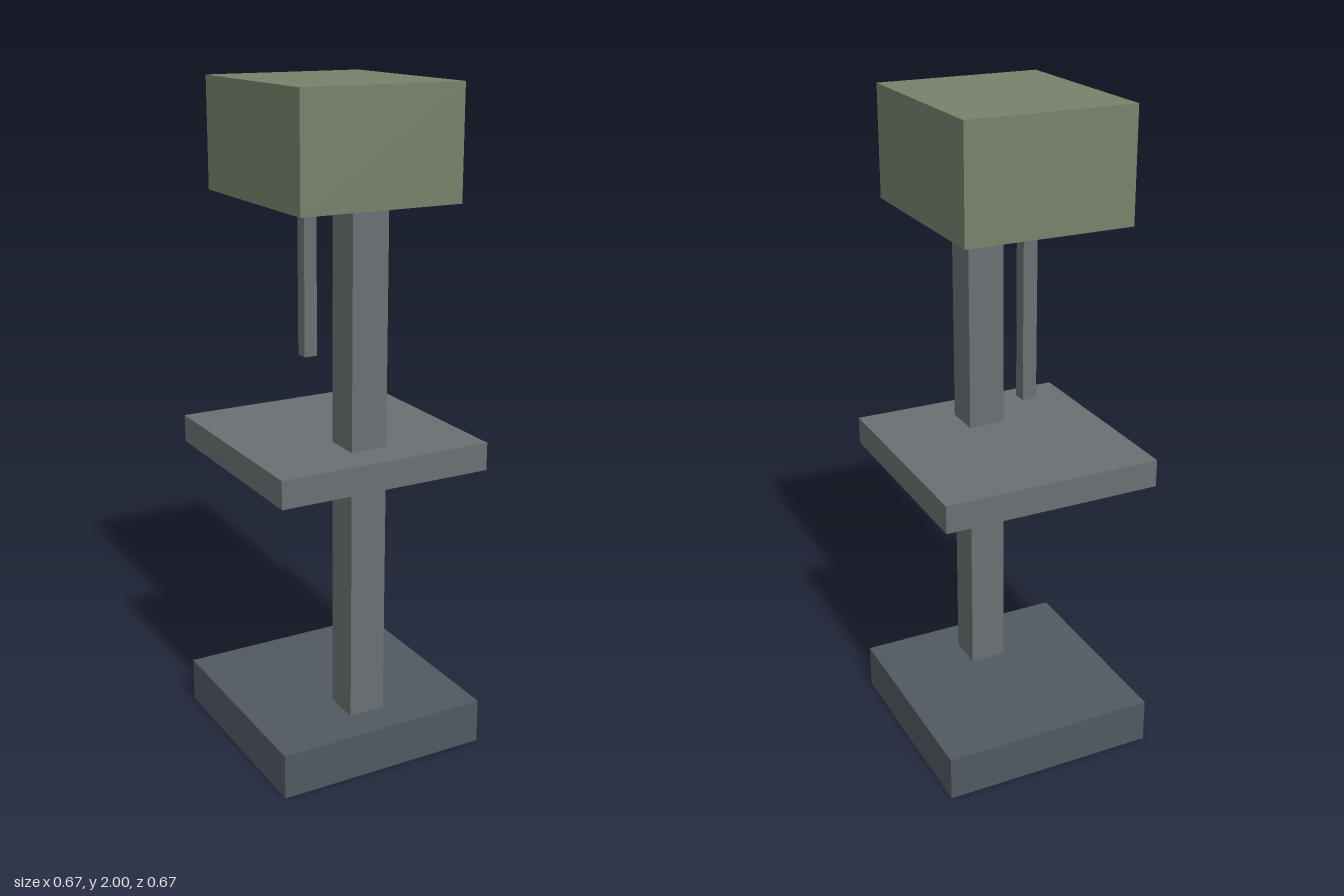
import * as THREE from 'three';

export function createModel() {
  const model = new THREE.Group();
  const slate = new THREE.MeshStandardMaterial({ color: 0x505a62, flatShading: true });
  const steel = new THREE.MeshStandardMaterial({ color: 0x6a7072, flatShading: true });
  const olive = new THREE.MeshStandardMaterial({ color: 0x78826b, flatShading: true });

  // Box spanning y0..y1, centred on x = 0 and the given z
  function block(name, material, width, depth, y0, y1, z = 0) {
    const mesh = new THREE.Mesh(new THREE.BoxGeometry(width, y1 - y0, depth), material);
    mesh.name = name;
    mesh.position.set(0, (y0 + y1) / 2, z);
    model.add(mesh);
  }

  // Floor slab and the offset column rising from it
  block('base', slate, 0.667, 0.667, 0, 0.138);
  block('column', steel, 0.113, 0.115, 0.138, 1.673, 0.168);

  // Work table pierced by the column
  block('table', steel, 0.667, 0.667, 0.896, 0.98);

  // Overhanging head with the spindle hanging below
  block('head', olive, 0.5, 0.583, 1.673, 2);
  block('spindle', steel, 0.042, 0.042, 1.172, 1.673, -0.15);

  return model;
}
